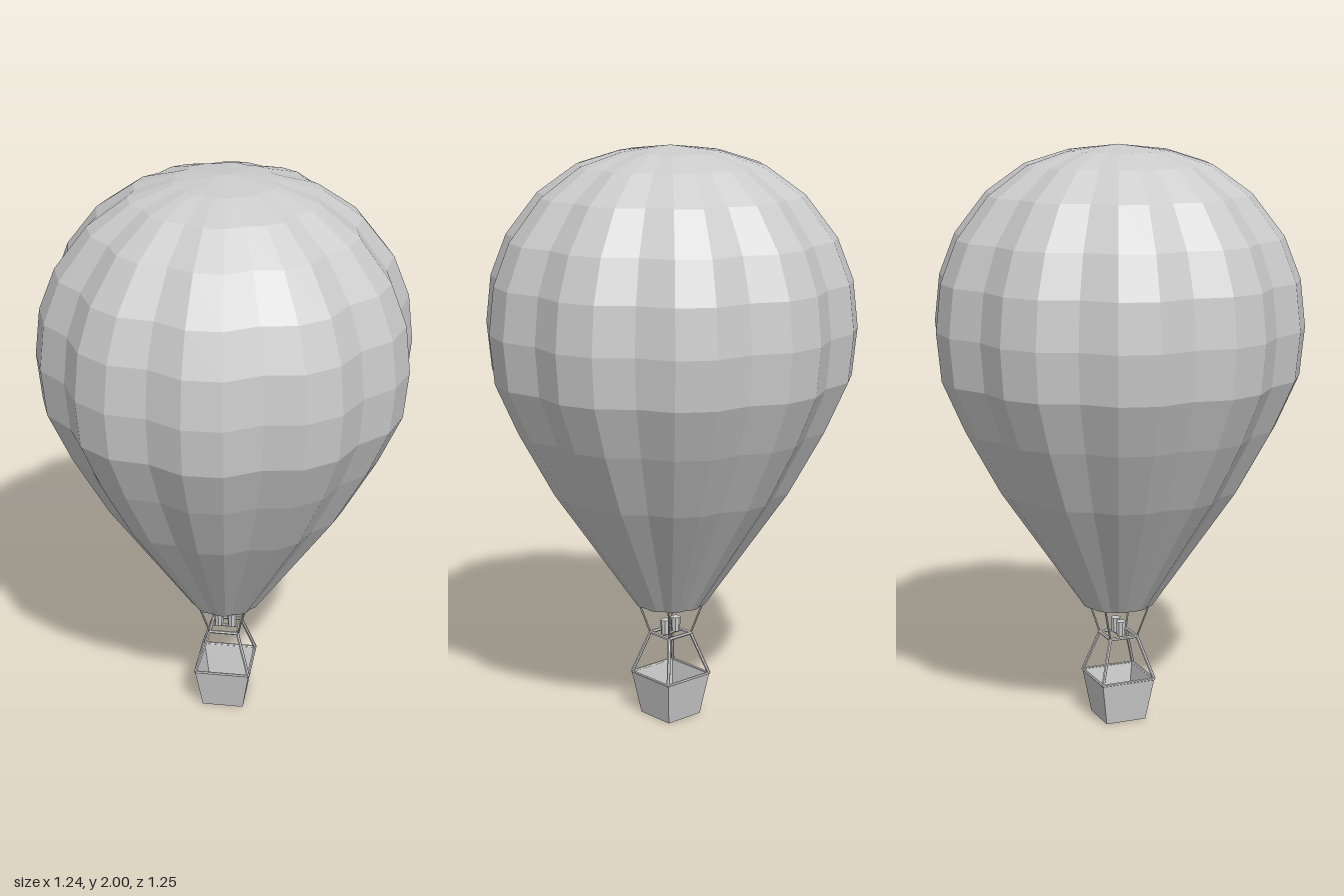
import * as THREE from 'three';

const grey = new THREE.MeshStandardMaterial({ color: 0xcccccc, flatShading: true, side: THREE.DoubleSide });

function add(parent, name, geometry) {
  const mesh = new THREE.Mesh(geometry, grey);
  mesh.name = name;
  parent.add(mesh);
  return mesh;
}

// Thin bar between two points
function bar(parent, name, a, b, radius) {
  const dir = b.clone().sub(a);
  const mesh = add(parent, name, new THREE.CylinderGeometry(radius, radius, dir.length(), 6));
  mesh.position.copy(a).add(b).multiplyScalar(0.5);
  mesh.quaternion.setFromUnitVectors(new THREE.Vector3(0, 1, 0), dir.normalize());
  return mesh;
}

// Four corners of a horizontal square
const corners = (half, y) =>
  [[1, 1], [1, -1], [-1, -1], [-1, 1]].map(([x, z]) => new THREE.Vector3(x * half, y, z * half));

// Envelope: ten gores of three panels, every third seam pulled inwards
function envelopeGeometry() {
  const profile = [
    [0.123, 0.415], [0.415, 0.84], [0.535, 1.06], [0.612, 1.235], [0.628, 1.4],
    [0.61, 1.56], [0.555, 1.7], [0.447, 1.84], [0.315, 1.935], [0.173, 1.98], [0, 2],
  ].map(([r, y]) => new THREE.Vector2(r, y));
  const geometry = new THREE.LatheGeometry(profile, 30, THREE.MathUtils.degToRad(19.6));
  const pos = geometry.attributes.position;
  for (let i = 0; i < pos.count; i++) {
    const column = Math.floor(i / profile.length);
    const s = column % 3 === 0 ? 0.94 : 1;
    pos.setX(i, pos.getX(i) * s);
    pos.setZ(i, pos.getZ(i) * s);
  }
  return geometry;
}

// Open square basket with a floor and thin tapered walls
function basketGeometry() {
  const profile = [[0, 0], [0.073, 0], [0.097, 0.152], [0.09, 0.152], [0.068, 0.008], [0, 0.008]]
    .map(([half, y]) => new THREE.Vector2(half * Math.SQRT2, y));
  return new THREE.LatheGeometry(profile, 4, Math.PI / 4);
}

export function createModel() {
  const model = new THREE.Group();
  model.name = 'hotAirBalloon';

  add(model, 'envelope', envelopeGeometry());
  add(model, 'basket', basketGeometry());

  const rim = corners(0.096, 0.152);
  const frame = corners(0.05, 0.3);
  const neck = corners(0.081, 0.417);
  for (let i = 0; i < 4; i++) {
    const next = (i + 1) % 4;
    bar(model, 'basketRim', rim[i], rim[next], 0.005);
    bar(model, 'burnerFrame', frame[i], frame[next], 0.006);
    bar(model, 'basketPole', rim[i], frame[i], 0.006);
    bar(model, 'envelopeCable', frame[i], neck[i], 0.0035);
  }

  // Twin burners on a cross bar
  bar(model, 'burnerBar', new THREE.Vector3(-0.05, 0.3, 0), new THREE.Vector3(0.05, 0.3, 0), 0.005);
  for (const x of [-0.024, 0.024]) {
    add(model, 'burner', new THREE.CylinderGeometry(0.018, 0.015, 0.052, 8)).position.set(x, 0.328, 0);
  }
  return model;
}
